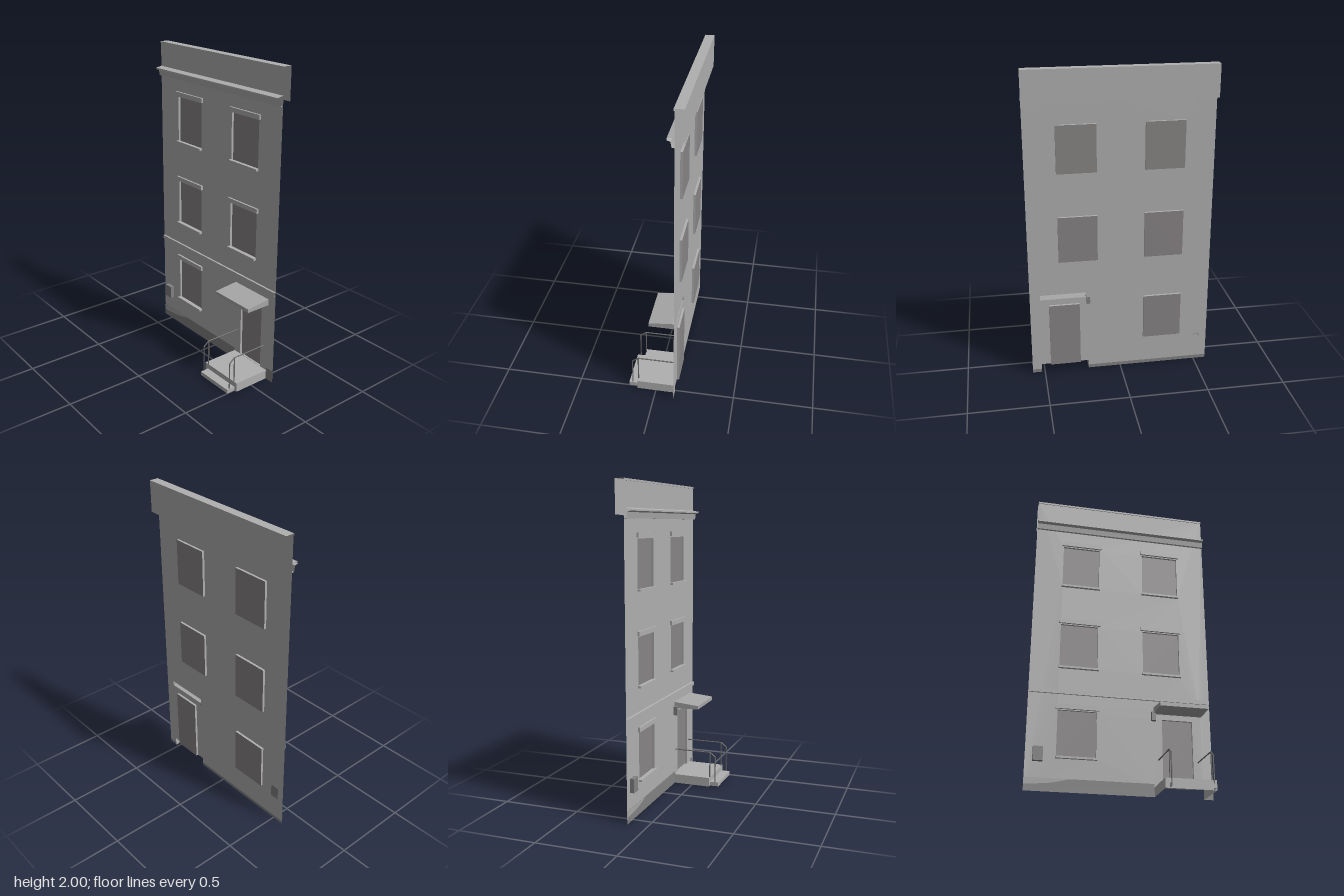
import * as THREE from 'three';

const WALL_Z = -0.127, PANE_Z = -0.142, HALF = 0.58;

function material(name, color) {
  const m = new THREE.MeshStandardMaterial({ color, side: THREE.DoubleSide });
  m.name = name;
  return m;
}

// Box given by its limits; faces listed in `open` are left out (px nx py ny pz nz)
function box(x0, x1, y0, y1, z0, z1, open = []) {
  const g = new THREE.BoxGeometry(x1 - x0, y1 - y0, z1 - z0);
  const order = ['px', 'nx', 'py', 'ny', 'pz', 'nz'];
  const all = Array.from(g.index.array);
  g.setIndex(order.flatMap((f, i) => (open.includes(f) ? [] : all.slice(i * 6, i * 6 + 6))));
  g.clearGroups();
  g.translate((x0 + x1) / 2, (y0 + y1) / 2, (z0 + z1) / 2);
  return g;
}

// Rectangular path, for holes
function rect(x0, x1, y0, y1) {
  return new THREE.Path([[x0, y0], [x1, y0], [x1, y1], [x0, y1]].map(p => new THREE.Vector2(...p)));
}

// Flat sheet facing +z from an outline, with optional holes
function sheet(points, z, holes = []) {
  const s = new THREE.Shape(points.map(p => new THREE.Vector2(...p)));
  s.holes.push(...holes);
  return new THREE.ShapeGeometry(s).translate(0, 0, z);
}

// Open-ended moulding: a [z, y] profile, top to bottom, swept along x
function moulding(profile, x0, x1) {
  const pos = [], idx = [];
  for (let i = 0; i < profile.length - 1; i++) {
    const [za, ya] = profile[i], [zb, yb] = profile[i + 1], n = i * 4;
    pos.push(x0, ya, za, x1, ya, za, x0, yb, zb, x1, yb, zb);
    idx.push(n, n + 2, n + 1, n + 1, n + 2, n + 3);
  }
  const g = new THREE.BufferGeometry();
  g.setAttribute('position', new THREE.Float32BufferAttribute(pos, 3));
  g.setIndex(idx);
  g.computeVertexNormals();
  return g;
}

// Round bar between two points
function bar(a, b, r = 0.004) {
  return new THREE.TubeGeometry(new THREE.LineCurve3(new THREE.Vector3(...a), new THREE.Vector3(...b)), 1, r, 6);
}

export function createModel() {
  const root = new THREE.Group();
  root.name = 'townhouseFront';
  const plaster = material('plaster', 0xb0b0b0);
  const glass = material('pane', 0x898586);
  const dark = material('darkBase', 0x828282);
  const canopyGrey = material('canopyGrey', 0xa8a8a8);
  const metal = material('railMetal', 0x707070);
  const add = (name, geo, mat, parent = root) => {
    const m = new THREE.Mesh(geo, mat);
    m.name = name;
    parent.add(m);
    return m;
  };

  // Openings: five windows and a door
  const columns = [-0.2725, 0.2675], rows = [0.21, 0.79, 1.367];
  const windows = [];
  rows.forEach((y, r) => columns.forEach((x, c) => {
    if (r > 0 || c === 0) windows.push([x - 0.122, x + 0.122, y, y + 0.298]);
  }));
  const door = [0.265, 0.46, 0.06, 0.49];

  // Wall sheet, notched behind the porch and open behind the canopy
  const holes = [...windows.map(w => rect(...w)), rect(...door.slice(0, 2), 0.062, door[3]),
    rect(0.215, 0.515, 0.53, 0.562)];
  add('wall', sheet([[-HALF, 0.025], [0.21, 0.025], [0.21, 0.06], [0.52, 0.06],
    [0.52, 0.025], [HALF, 0.025], [HALF, 1.995], [-HALF, 1.995]], WALL_Z, holes), plaster);

  // Plinth with a paler patch at one end
  add('plinth', sheet([[-HALF, 0], [0.21, 0], [0.21, 0.08], [-HALF, 0.08]], WALL_Z + 0.003), dark);
  add('plinthEnd', sheet([[0.52, 0], [HALF, 0], [HALF, 0.08], [0.52, 0.08]], WALL_Z + 0.003), dark);
  add('plinthPatch', sheet([[-HALF, 0.04], [-0.5, 0.045], [-0.42, 0.053], [-0.36, 0.066],
    [-0.31, 0.08], [-HALF, 0.08]], WALL_Z + 0.005), canopyGrey);

  // Windows: recess, pane, lintel and sill
  for (const [x0, x1, y0, y1] of windows) {
    const g = new THREE.Group();
    g.name = 'window';
    root.add(g);
    add('reveal', box(x0, x1, y0, y1, PANE_Z, WALL_Z, ['pz', 'nz']), plaster, g);
    add('pane', sheet([[x0, y0], [x1, y0], [x1, y1], [x0, y1]], PANE_Z), glass, g);
    add('lintel', box(x0 - 0.012, x1 + 0.014, y1 + 0.006, y1 + 0.035, WALL_Z, -0.114, ['nz']), plaster, g);
    add('sill', box(x0 - 0.005, x1 + 0.005, y0 - 0.008, y0 + 0.005, WALL_Z, -0.108, ['nz']), plaster, g);
  }

  // Door
  const [dx0, dx1, dy0, dy1] = door;
  add('doorReveal', box(dx0, dx1, dy0, dy1, PANE_Z, WALL_Z, ['pz', 'nz']), plaster);
  add('door', sheet([[dx0, dy0], [dx1, dy0], [dx1, dy1], [dx0, dy1]], PANE_Z), glass);

  // Parapet cap and back, cornice, string course
  add('parapet', moulding([[WALL_Z, 1.988], [-0.122, 1.988], [-0.122, 2], [-0.18, 2], [-0.18, 1.8]].reverse(),
    -HALF, HALF), plaster);
  add('cornice', moulding([[WALL_Z, 1.84], [-0.085, 1.832], [-0.085, 1.822], [-0.106, 1.815],
    [-0.112, 1.78], [WALL_Z, 1.78]], -HALF, HALF), plaster);
  add('stringCourse', moulding([[WALL_Z, 0.636], [-0.116, 0.634], [-0.116, 0.61], [WALL_Z, 0.61]],
    -0.577, 0.577), plaster);

  // Canopy: a box with its top sloped down to the front
  const canopy = box(0.21, 0.52, 0.525, 0.565, WALL_Z, 0.04, ['nz']);
  const p = canopy.attributes.position;
  for (let i = 0; i < p.count; i++) if (p.getZ(i) > 0 && p.getY(i) > 0.55) p.setY(i, 0.549);
  canopy.computeVertexNormals();
  add('canopy', canopy, canopyGrey);

  // Porch and step, hollow beneath
  add('porch', box(0.21, 0.52, 0, 0.06, WALL_Z, 0.12, ['ny', 'nz']), plaster);
  add('step', box(0.235, 0.5, 0, 0.026, 0.12, 0.178, ['ny', 'nz']), plaster);

  // Handrails
  for (const x of [0.238, 0.492]) {
    const g = new THREE.Group();
    g.name = 'handrail';
    root.add(g);
    add('rail', bar([x, 0.23, WALL_Z], [x, 0.23, 0.12]), metal, g);
    add('railSlope', bar([x, 0.23, 0.118], [x, 0.2, 0.156]), metal, g);
    add('rearPost', bar([x, 0.06, 0.117], [x, 0.23, 0.117]), metal, g);
    add('frontPost', bar([x, 0.026, 0.155], [x, 0.2, 0.155]), metal, g);
  }

  // Wall lamp and meter box
  add('wallLamp', box(0.195, 0.221, 0.477, 0.535, WALL_Z, -0.102), dark);
  add('meterBox', box(-0.535, -0.475, 0.178, 0.264, WALL_Z, -0.1), dark);
  return root;
}
